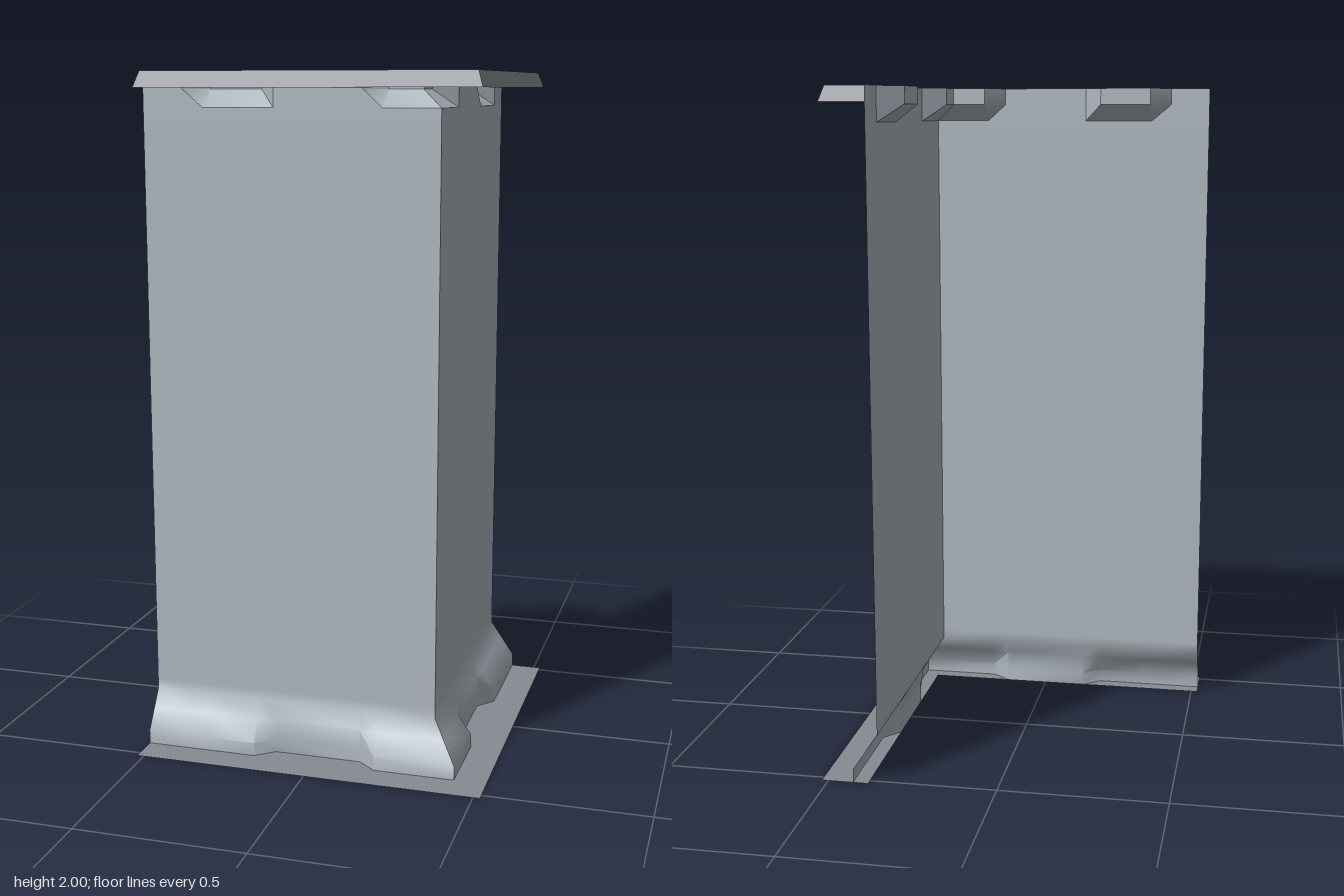
import * as THREE from 'three';
import { toCreasedNormals } from 'three/addons/utils/BufferGeometryUtils.js';

const panel = new THREE.MeshStandardMaterial({ color: 0xb0b8c1, side: THREE.DoubleSide });
panel.name = 'pale grey panel';
const trim = new THREE.MeshStandardMaterial({ color: 0x888b93, side: THREE.DoubleSide });
trim.name = 'dark grey trim';

const END = -0.52, WALL = 0.35, DENT = 0.285, EDGE = 0.52, LIP = 1.955;
const COLUMNS = [END, -0.4, -0.34, -0.185, -0.13, 0.13, 0.185];
const ROWS = [0, 0.04, 0.1, 0.15, 0.18, 1.87, 1.9, 1.95, 2];

// Surface through a grid of points, given as rows of [x, y, z]
function skin(rows) {
  const w = rows[0].length, index = [];
  for (let r = 0; r < rows.length - 1; r++) {
    for (let c = 0; c < w - 1; c++) {
      const a = r * w + c, b = a + w;
      index.push(a, a + 1, b, a + 1, b + 1, b);
    }
  }
  const g = new THREE.BufferGeometry();
  g.setAttribute('position', new THREE.Float32BufferAttribute(rows.flat(2), 3));
  g.setIndex(index);
  return toCreasedNormals(g, 0.8);
}

// Flat sheet from an [x, z] outline
function sheet(points, y) {
  const shape = new THREE.Shape(points.map(p => new THREE.Vector2(p[0], p[1])));
  return new THREE.ShapeGeometry(shape).rotateX(Math.PI / 2).translate(0, y, 0);
}

// Distance of the wall from the centre: flared foot with a recess, dents at the top
function wallOffset(t, y) {
  if (y > 1.9) {
    const dented = (t >= -0.34 && t <= -0.185) || t >= 0.185;
    return dented ? DENT : WALL;
  }
  const flare = THREE.MathUtils.clamp((0.15 - y) / 0.11, 0, 1);
  const d = WALL + 0.075 * flare;
  return Math.abs(t) <= 0.13 ? Math.min(d, 0.38) : d;
}

// One run of points around the corner at height y
function wallRow(y) {
  const front = COLUMNS.map(t => [t, y, wallOffset(t, y)]);
  const d = wallOffset(WALL, y);
  const side = front.map(([x, h, z]) => [z, h, x]).reverse();
  return [...front, [d, y, d], ...side];
}

export function createModel() {
  const group = new THREE.Group();
  const add = (name, geometry, material) => {
    const mesh = new THREE.Mesh(geometry, material);
    mesh.name = name;
    group.add(mesh);
  };

  add('cornerWall', skin(ROWS.map(wallRow)), panel);

  // Flat strip on the ground
  const inner = 0.38;
  add('baseFlange', sheet([
    [END, inner], [inner, inner], [inner, END], [EDGE, END], [EDGE, EDGE], [END, EDGE],
  ], 0), trim);

  // Flange, sloped lip and groove swept around the top
  const profile = [[0.52, LIP], [0.49, LIP], [0.475, 2], [0.467, 2], [0.461, 1.987], [0.455, 1.987]];
  add('topTrim', skin(profile.map(([a, y]) => [
    [-a, y, WALL], [-a, y, a], [a, y, a], [a, y, -a], [WALL, y, -a],
  ])), trim);

  // Top panel, following the dents of the wall
  const e = 0.455;
  const half = [[-e, WALL], ...COLUMNS.slice(1).map(t => [t, wallOffset(t, 2)])];
  const outline = [
    ...half, [DENT, DENT], ...half.map(([x, z]) => [z, x]).reverse(),
    [e, -e], [e, e], [-e, e],
  ];
  add('topPanel', sheet(outline, 1.987), panel);

  return group;
}
